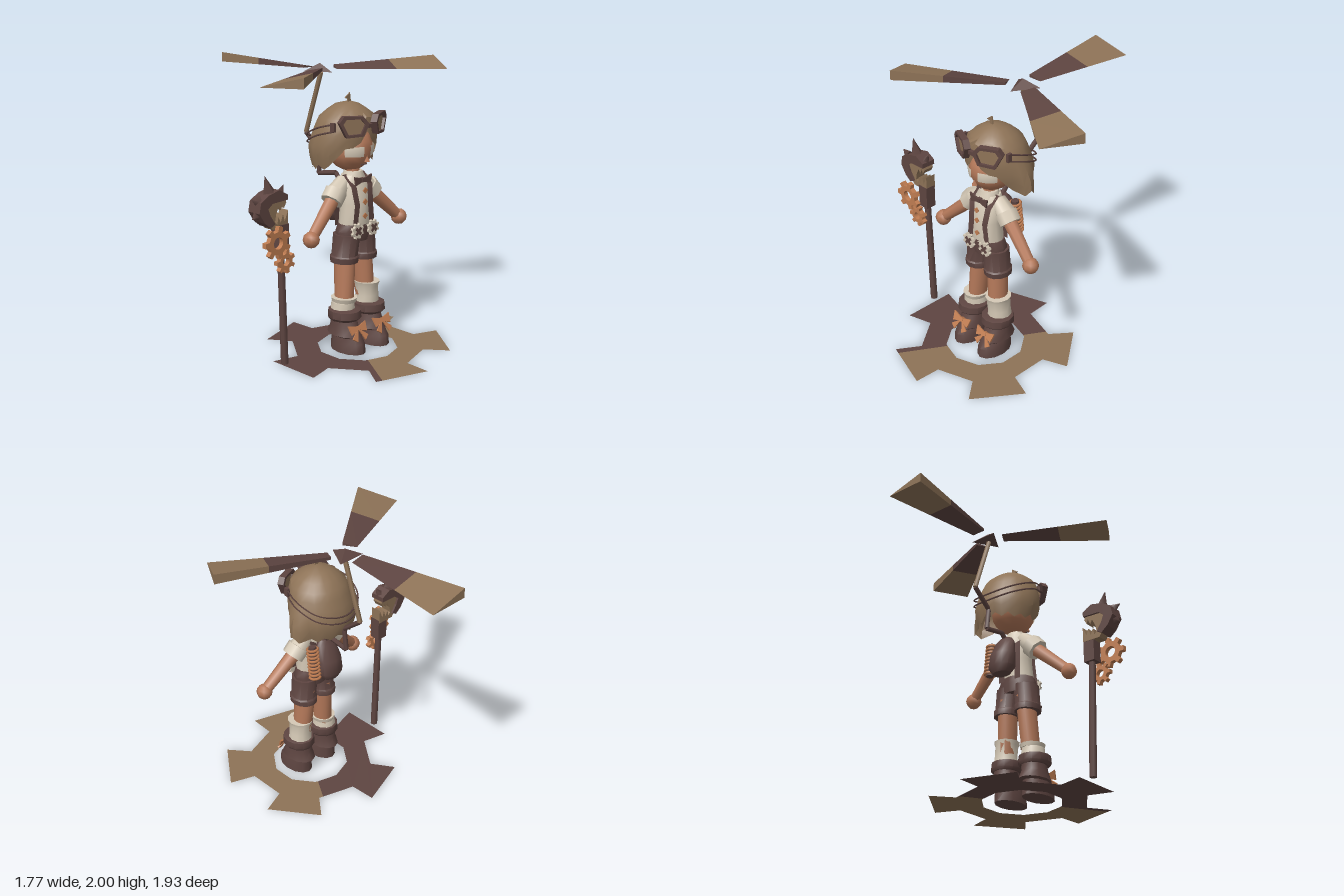
import * as THREE from 'three';
import { toCreasedNormals } from 'three/addons/utils/BufferGeometryUtils.js';

const mat = (name, color, side = THREE.FrontSide) => {
  const m = new THREE.MeshStandardMaterial({ color, side });
  m.name = name;
  return m;
};
const M = {
  dark: mat('dark leather', 0x5e4541, THREE.DoubleSide),
  tan: mat('tan', 0x8e7357, THREE.DoubleSide),
  skin: mat('skin', 0xb5795a),
  cream: mat('cream cloth', 0xd5c9b6, THREE.DoubleSide),
  copper: mat('copper', 0xc07d52, THREE.DoubleSide),
};
const V = (x, y, z) => new THREE.Vector3(x, y, z);
const TAU = Math.PI * 2, Z0 = 0.235;

function add(parent, name, geo, material, x = 0, y = 0, z = 0) {
  const mesh = new THREE.Mesh(geo, material);
  mesh.name = name;
  mesh.position.set(x, y, z);
  parent.add(mesh);
  return mesh;
}

// Grid of points joined into a surface
function surface(rows, cols, point) {
  const pos = [], idx = [];
  for (let i = 0; i < rows; i++) for (let j = 0; j < cols; j++) pos.push(...point(i, j));
  for (let i = 0; i < rows - 1; i++) for (let j = 0; j < cols - 1; j++) {
    const a = i * cols + j, b = a + cols;
    idx.push(a, a + 1, b + 1, a, b + 1, b);
  }
  const g = new THREE.BufferGeometry();
  g.setAttribute('position', new THREE.Float32BufferAttribute(pos, 3));
  g.setIndex(idx);
  g.computeVertexNormals();
  return g;
}

// Closed stack of elliptical rings, bottom to top: [y, centre x, half width, front z, back z]
function loft(rings, seg = 12) {
  const cap = ([y, cx, , f, b]) => [y, cx, 0, (f + b) / 2, (f + b) / 2];
  const all = [cap(rings[0]), ...rings, cap(rings[rings.length - 1])];
  const g = surface(all.length, seg + 1, (i, j) => {
    const [y, cx, rx, f, b] = all[i], a = (j % seg) / seg * TAU;
    return [cx + rx * Math.sin(a), y, (f + b) / 2 + (f - b) / 2 * Math.cos(a)];
  });
  return toCreasedNormals(g, 0.8);
}

// Tapered rod between two points
function rod(parent, name, material, a, b, r1, r2, seg = 8) {
  const d = b.clone().sub(a);
  const mesh = add(parent, name, new THREE.CylinderGeometry(r2, r1, d.length(), seg), material);
  mesh.position.copy(a).add(b).multiplyScalar(0.5);
  mesh.quaternion.setFromUnitVectors(V(0, 1, 0), d.normalize());
  return mesh;
}

const polygon = pts => new THREE.Shape(pts.map(p => new THREE.Vector2(...p)));
const plate = (shape, depth) => new THREE.ExtrudeGeometry(shape, { depth, bevelEnabled: false });
const polar = ([a, r]) => [r * Math.cos(a), r * Math.sin(a)];

// Gear outline as [angle, radius]
function gearOutline(n, root, tip, wRoot, wTip) {
  const out = [];
  for (let k = 0; k < n; k++) {
    const c = (k + 0.5) / n * TAU;
    out.push([c - wRoot, root], [c - wTip, tip], [c + wTip, tip], [c + wRoot, root]);
  }
  return out;
}
function gear(n, root, tip, hole, depth) {
  const s = polygon(gearOutline(n, root, tip, 1.7 / n, 1.1 / n).map(polar));
  if (hole) s.holes.push(new THREE.Path().absarc(0, 0, hole, 0, TAU, true));
  return plate(s, depth);
}

// Flat gear on the ground, one half of each colour
function groundGear(root) {
  const outline = gearOutline(5, 0.47, 0.66, 0.325, 0.307);
  const inner = Array.from({ length: 10 }, (_, k) => [(18 + 36 * k) * TAU / 360, 0.288]);
  const cut = -58.5 * TAU / 360;
  const half = (name, start, r0, r1, material) => {
    const within = list => list.map(([a, r]) => [start + ((a - start) % TAU + TAU) % TAU, r])
      .filter(([a]) => a < start + Math.PI).sort((p, q) => p[0] - q[0]);
    const pts = [[start, r0], ...within(outline), [start + Math.PI, r1],
      [start + Math.PI, 0.285], ...within(inner).reverse(), [start, 0.285]];
    add(root, name, new THREE.ShapeGeometry(polygon(pts.map(polar))), material, 0.03, 0, 0.3)
      .rotation.x = Math.PI / 2;
  };
  half('groundGearTan', cut, 0.462, 0.647, M.tan);
  half('groundGearDark', cut + Math.PI, 0.647, 0.462, M.dark);
}

// Three wedge blades around a pyramid hub, on a crooked pipe
function propeller(root) {
  const g = new THREE.Group();
  g.name = 'propeller';
  g.position.set(0.03, 0, -0.08);
  root.add(g);
  const section = r => {
    const t = (r - 0.11) / 0.78, w = 0.05 + 0.095 * t, h = 0.01 + 0.025 * t, y = 1.955 + 0.01 * t;
    return [[-w, y + h, -r], [-w, y - h, -r], [w, y - h, -r]];
  };
  const wedge = (r1, r2) => {
    const p = [section(r1), section(r2)], pos = [];
    const tri = (...t) => t.forEach(v => pos.push(...v));
    for (let i = 0; i < 3; i++) {
      const k = (i + 1) % 3;
      tri(p[0][i], p[1][k], p[1][i]);
      tri(p[0][i], p[0][k], p[1][k]);
    }
    tri(p[0][0], p[0][2], p[0][1]);
    tri(...p[1]);
    const geo = new THREE.BufferGeometry();
    geo.setAttribute('position', new THREE.Float32BufferAttribute(pos, 3));
    geo.computeVertexNormals();
    return geo;
  };
  for (let k = 0; k < 3; k++) {
    add(g, 'bladeInner', wedge(0.11, 0.53), M.dark).rotation.y = k * TAU / 3;
    add(g, 'bladeTip', wedge(0.53, 0.89), M.tan).rotation.y = k * TAU / 3;
  }
  add(g, 'hub', toCreasedNormals(new THREE.ConeGeometry(0.12, 0.055, 3), 0.1), M.dark, 0, 1.957, 0);
  const path = [[1.18, 0.12], [1.23, 0.08], [1.2, -0.09], [1.36, -0.07], [1.48, -0.22], [1.92, -0.07]]
    .map(([y, z]) => V(0.03, y, z));
  for (let i = 0; i < 5; i++)
    rod(root, 'propellerPipe', i === 4 ? M.tan : M.dark, path[i], path[i + 1], 0.018, 0.018, 5);
}

// Staff with a snarling beast head and loose gears
function staff(root) {
  const g = new THREE.Group();
  g.name = 'staff';
  root.add(g);
  rod(g, 'staffShaft', M.dark, V(-0.615, 0.03, Z0), V(-0.645, 0.9, Z0), 0.026, 0.024);
  add(g, 'staffSocket', new THREE.BoxGeometry(0.085, 0.17, 0.08), M.dark, -0.645, 0.935, Z0);
  add(g, 'beastHood', plate(polygon([[-0.62, 1.22], [-0.69, 1.26], [-0.78, 1.24], [-0.85, 1.2],
    [-0.865, 1.13], [-0.82, 1.06], [-0.77, 1.02], [-0.73, 1.04], [-0.77, 1.1], [-0.79, 1.15],
    [-0.75, 1.18], [-0.62, 1.185]]), 0.11), M.dark, 0, 0, 0.175);
  add(g, 'beastHead', plate(polygon([[-0.8, 1.15], [-0.74, 1.19], [-0.63, 1.195], [-0.62, 1.165],
    [-0.64, 1.13], [-0.65, 1.16], [-0.67, 1.12], [-0.685, 1.15], [-0.71, 1.1], [-0.72, 1.05],
    [-0.7, 1.03], [-0.69, 1.08], [-0.67, 1.035], [-0.65, 1.09], [-0.635, 1.04], [-0.605, 1.11],
    [-0.605, 1], [-0.74, 1], [-0.79, 1.07]]), 0.08), M.tan, 0, 0, 0.19);
  for (const [x, y, tx, ty, r] of [[-0.74, 1.24, -0.775, 1.36, 0.05], [-0.83, 1.2, -0.895, 1.225, 0.04],
    [-0.85, 1.11, -0.885, 1.09, 0.035], [-0.645, 1.22, -0.61, 1.28, 0.035]])
    rod(g, 'hoodSpike', M.dark, V(x, y, Z0), V(tx, ty, Z0), r, 0, 4);
  add(g, 'largeGear', gear(7, 0.078, 0.11, 0.04, 0.035), M.copper, -0.75, 0.925, 0.3);
  add(g, 'smallGear', gear(7, 0.055, 0.08, 0.028, 0.035), M.copper, -0.67, 0.78, 0.285);
}

// Bow knot with optional hanging tails
function bow(parent, name, material, w, h, tails, x, y, z) {
  const g = new THREE.Group();
  g.name = name;
  g.position.set(x, y, z);
  parent.add(g);
  for (const s of [-1, 1]) {
    add(g, 'bowLoop', plate(polygon([[0, h * 0.3], [s * w, h], [s * w * 0.85, -h], [0, -h * 0.3]]), 0.012), material);
    if (tails) add(g, 'bowTail', plate(polygon([[0, 0], [s * w * 0.45, -h * 2.6], [s * w * 0.9, -h * 1.8]]), 0.009), material);
  }
  add(g, 'bowKnot', new THREE.BoxGeometry(w * 0.35, h * 0.9, 0.03), material);
  return g;
}

function legs(b) {
  for (const s of [-1, 1]) {
    const x = s * 0.122, top = s > 0 ? 0.46 : 0.39;
    add(b, 'leg', loft([[0.3, s * 0.11, 0.062, 0.345, 0.2], [0.75, s * 0.08, 0.066, 0.335, 0.16]]), M.skin);
    add(b, 'sock', loft([[0.29, x, 0.088, 0.36, 0.18], [0.36, x, 0.08, 0.36, 0.19],
      [top - 0.03, s * 0.115, 0.08, 0.365, 0.185], [top, s * 0.115, 0.09, 0.375, 0.18]]), M.cream);
    add(b, 'boot', loft([[0.012, x, 0.092, 0.472, 0.18], [0.08, x, 0.09, 0.465, 0.185],
      [0.12, x, 0.082, 0.44, 0.185], [0.13, x, 0.1, 0.435, 0.15], [0.19, x, 0.088, 0.4, 0.18],
      [0.25, x, 0.085, 0.38, 0.18]]), M.dark);
    add(b, 'bootCuff', loft([[0.235, x, 0.1, 0.395, 0.175], [0.255, x, 0.117, 0.415, 0.165],
      [0.305, x, 0.113, 0.41, 0.17], [0.312, x, 0.09, 0.38, 0.19]]), M.dark);
    bow(b, 'bootBow', M.copper, 0.085, 0.035, true, x, 0.19, 0.415).rotation.x = -0.45;
    add(b, 'shortsLeg', loft([[0.64, s * 0.094, 0.093, 0.36, 0.15], [0.68, s * 0.094, 0.096, 0.365, 0.15],
      [0.69, s * 0.092, 0.088, 0.355, 0.16], [0.84, s * 0.074, 0.094, 0.36, 0.16]]), M.dark);
  }
  add(b, 'shortsSeat', loft([[0.79, 0, 0.15, 0.355, 0.16], [0.86, 0, 0.155, 0.365, 0.155],
    [0.91, 0, 0.132, 0.365, 0.16]]), M.dark);
}

function torso(b) {
  add(b, 'shirt', loft([[0.82, 0, 0.12, 0.35, 0.17], [0.9, 0, 0.125, 0.365, 0.165],
    [1.05, 0, 0.107, 0.36, 0.165], [1.18, 0, 0.125, 0.34, 0.15], [1.25, 0, 0.085, 0.31, 0.17]], 14), M.cream);
  add(b, 'collar', loft([[1.23, 0, 0.085, 0.325, 0.17], [1.275, 0, 0.068, 0.31, 0.185]], 10), M.cream);
  rod(b, 'neck', M.skin, V(0, 1.22, 0.245), V(0, 1.33, 0.235), 0.05, 0.05);
  bow(b, 'bowTie', M.dark, 0.085, 0.032, false, 0, 1.22, 0.335);
  for (const y of [0.97, 1.07, 1.15])
    add(b, 'button', new THREE.CylinderGeometry(0.022, 0.022, 0.009, 4), M.copper, 0, y, 0.364).rotation.x = Math.PI / 2;
  for (const s of [-1, 1]) {
    const path = [[0.085, 0.88, 0.352], [0.065, 1.05, 0.353], [0.08, 1.18, 0.332], [0.078, 1.257, 0.25],
      [0.075, 1.16, 0.162], [0.07, 0.88, 0.165]];
    add(b, 'suspender', surface(path.length, 2, (i, j) =>
      [s * path[i][0] + (j - 0.5) * 0.05, path[i][1], path[i][2]]), M.dark);
    const buckle = new THREE.Group();
    buckle.name = 'beltBuckle';
    buckle.position.set(s * 0.078, 0.875, 0.355);
    b.add(buckle);
    add(buckle, 'buckleGear', gear(8, 0.045, 0.057, 0, 0.02), M.cream);
    for (const t of [-1, 1])
      add(buckle, 'buckleCross', new THREE.BoxGeometry(0.065, 0.02, 0.008), M.dark, 0, 0, 0.022).rotation.z = t * Math.PI / 4;
    // Arm
    rod(b, 'sleeve', M.cream, V(s * 0.07, 1.21, 0.23), V(s * 0.17, 1.12, 0.235), 0.055, 0.075);
    rod(b, 'sleeveCuff', M.cream, V(s * 0.15, 1.145, 0.232), V(s * 0.205, 1.085, 0.24), 0.082, 0.08);
    rod(b, 'forearm', M.skin, V(s * 0.17, 1.115, 0.235), V(s * 0.42, 0.89, 0.28), 0.052, 0.04);
    add(b, 'hand', new THREE.SphereGeometry(0.058, 8, 6), M.skin, s * 0.44, 0.87, 0.285);
  }
}

function backpack(b) {
  add(b, 'backpack', loft([[0.9, 0, 0.07, 0.13, 0.02], [0.95, 0, 0.105, 0.165, -0.005],
    [1.05, 0, 0.1, 0.165, 0.01], [1.16, 0, 0.08, 0.165, 0.07], [1.195, 0, 0.05, 0.16, 0.1]]), M.dark);
  rod(b, 'springCore', M.dark, V(0.125, 0.92, 0.095), V(0.125, 1.18, 0.12), 0.028, 0.028);
  for (let i = 0; i < 9; i++)
    add(b, 'springCoil', new THREE.TorusGeometry(0.038, 0.01, 5, 12), M.copper,
      0.125, 0.935 + i * 0.028, 0.095 + i * 0.003).rotation.x = Math.PI / 2 + 0.15;
}

function lerpTable(table, t) {
  let i = 1;
  while (i < table.length - 1 && t > table[i][0]) i++;
  const [a, b] = [table[i - 1], table[i]];
  const k = Math.min(1, Math.max(0, (t - a[0]) / (b[0] - a[0])));
  return a.map((v, n) => v + (b[n] - v) * k);
}

function head(b) {
  const face = (r, ...arc) => new THREE.SphereGeometry(r, 14, 10, ...arc).scale(0.155, 0.165, 0.17);
  add(b, 'face', face(1), M.skin, 0, 1.435, 0.21);
  for (const s of [-1, 1])
    add(b, 'eye', face(1.03, Math.PI / 2 - s * 0.62 - 0.42, 0.84, 1.42, 0.42), M.cream, 0, 1.435, 0.21);
  add(b, 'nose', new THREE.ConeGeometry(0.025, 0.04, 4), M.skin, 0, 1.375, 0.378);
  add(b, 'mouth', new THREE.BoxGeometry(0.06, 0.006, 0.008), M.dark, 0, 1.33, 0.347);

  // Bobbed hair: ring sizes by depth below the crown, ragged hem by angle from the front
  const rings = [[0, 0, 0.2, 0.2], [0.025, 0.09, 0.28, 0.1], [0.095, 0.19, 0.37, 0], [0.205, 0.23, 0.385, -0.05],
    [0.335, 0.25, 0.365, -0.09], [0.475, 0.21, 0.31, -0.05]];
  const hem = [[0, 1.57], [0.12, 1.53], [0.3, 1.46], [0.75, 1.45], [0.95, 1.36], [1.15, 1.29], [1.5, 1.3],
    [2, 1.28], [Math.PI, 1.3]];
  const N = 28, R = 9;
  add(b, 'hair', toCreasedNormals(surface(R, N + 1, (i, j) => {
    const a = (j % N) / N * TAU, away = Math.min(a, TAU - a), t = 1 - i / (R - 1);
    const low = lerpTable(hem, away)[1] + (away > 0.9 && j % 2 ? 0.03 : 0);
    const drop = (1.755 - low) * Math.pow(t, 1.4);
    const [, rx, f, k] = lerpTable(rings, drop);
    const flick = a > 1.2 && a < 1.9 ? 1 + 0.32 * t ** 4 : 1;
    return [rx * Math.sin(a) * flick, 1.755 - drop, (f + k) / 2 + (f - k) / 2 * Math.cos(a)];
  }), 0.6), M.tan);
  add(b, 'hairTuft', plate(polygon([[-0.015, 0], [0.015, 0], [0.005, 0.07], [-0.045, 0.035], [-0.015, 0.03]]), 0.008),
    M.tan, -0.005, 1.74, 0.205);

  // Goggles and strap
  const hex = k => [[-0.1, 0.03], [-0.07, 0.07], [0.06, 0.065], [0.1, 0.02], [0.065, -0.06], [-0.05, -0.065]]
    .map(([x, y]) => [x * k, y * k]);
  for (const s of [-1, 1]) {
    const g = new THREE.Group();
    g.name = 'goggle';
    g.position.set(s * 0.115, 1.605, 0.345);
    g.rotation.y = s * 0.42;
    b.add(g);
    const flip = k => hex(k).map(([x, y]) => [-s * x, y]);
    const rim = polygon(flip(1.08));
    rim.holes.push(new THREE.Path(flip(0.8).map(p => new THREE.Vector2(...p))));
    add(g, 'goggleRim', plate(rim, 0.045), M.dark);
    add(g, 'goggleLens', new THREE.ShapeGeometry(polygon(flip(0.85))), M.tan, 0, 0, 0.025);
    add(b, 'strapBuckle', new THREE.BoxGeometry(0.02, 0.06, 0.035), M.dark, s * 0.215, 1.6, 0.265);
  }
  add(b, 'goggleBridge', new THREE.BoxGeometry(0.05, 0.025, 0.03), M.dark, 0, 1.605, 0.395);
  for (const dy of [-0.025, 0.025]) {
    const pts = [[-0.21, 1.6, 0.28], [-0.245, 1.56, 0.14], [-0.185, 1.49, -0.02], [0, 1.45, -0.09],
      [0.185, 1.49, -0.02], [0.245, 1.56, 0.14], [0.21, 1.6, 0.28]].map(([x, y, z]) => V(x, y + dy, z));
    add(b, 'goggleStrap', new THREE.TubeGeometry(new THREE.CatmullRomCurve3(pts), 28, 0.006, 4), M.dark);
  }
}

export function createModel() {
  const root = new THREE.Group();
  root.name = 'inventor';
  const body = new THREE.Group();
  body.name = 'body';
  body.position.x = 0.03;
  root.add(body);
  [legs, torso, backpack, head].forEach(build => build(body));
  [groundGear, propeller, staff].forEach(build => build(root));
  return root;
}
